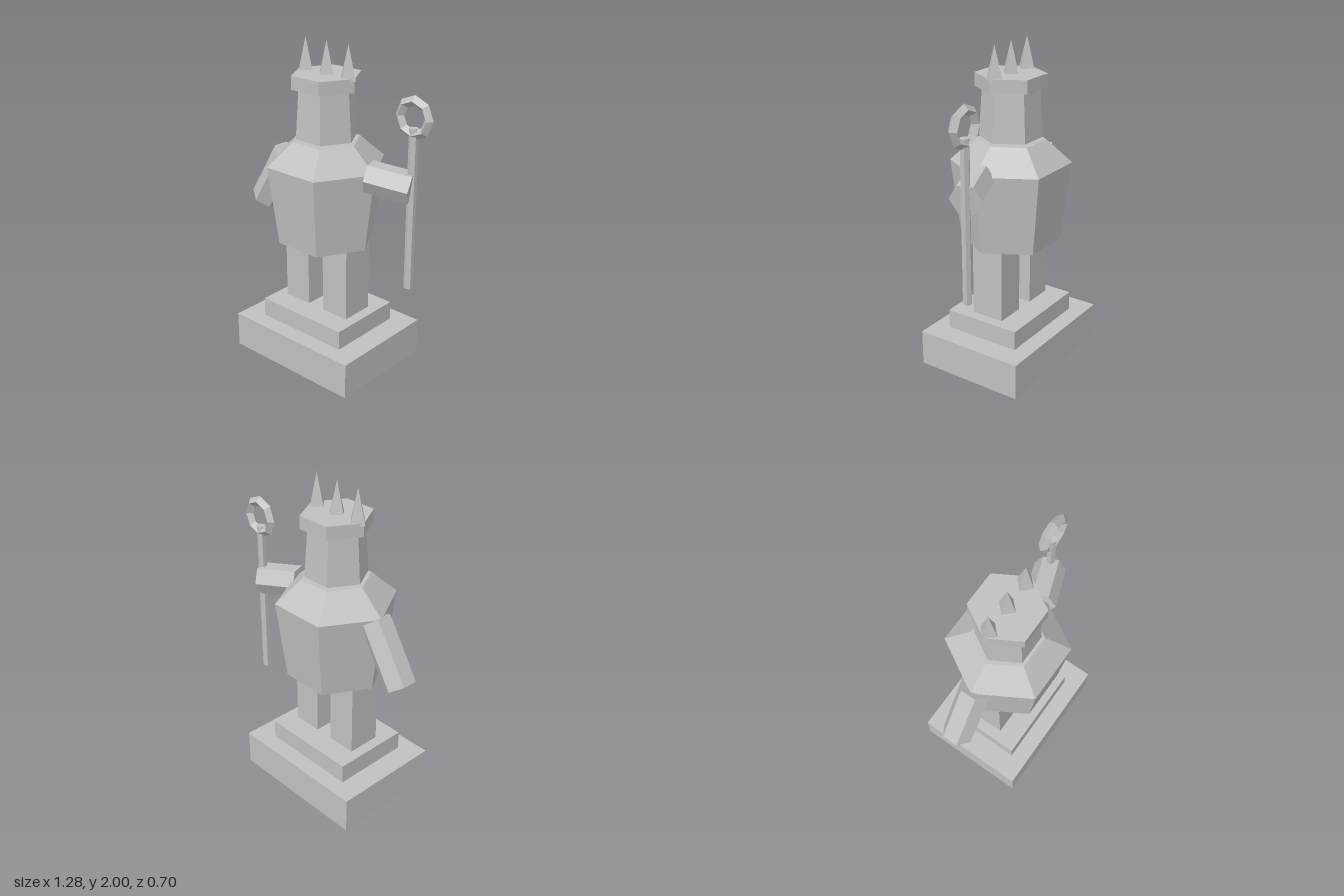
import * as THREE from 'three';

export function createModel() {
  const group = new THREE.Group();
  const stone = new THREE.MeshStandardMaterial({ color: 0xc0c0c0, flatShading: true });
  stone.name = 'grey stone';
  const CX = -0.048; // centre line of the figure

  function add(name, geometry, x, y, z = 0) {
    const mesh = new THREE.Mesh(geometry, stone);
    mesh.name = name;
    mesh.position.set(x, y, z);
    group.add(mesh);
    return mesh;
  }

  function box(name, x, y0, y1, width, depth) {
    return add(name, new THREE.BoxGeometry(width, y1 - y0, depth), x, (y0 + y1) / 2);
  }

  // Six-sided section with corners on the x axis
  function hex(name, y0, y1, rBottom, rTop) {
    const g = new THREE.CylinderGeometry(rTop, rBottom, y1 - y0, 6).rotateY(Math.PI / 6);
    return add(name, g, CX, (y0 + y1) / 2);
  }

  // Six-sided limb between two points, with corners kept level
  function limb(name, from, to, radius) {
    const a = new THREE.Vector3(...from), b = new THREE.Vector3(...to);
    const d = b.clone().sub(a);
    const mid = a.clone().add(b).multiplyScalar(0.5);
    const mesh = add(name, new THREE.CylinderGeometry(radius, radius, d.length(), 6), mid.x, mid.y, mid.z);
    mesh.rotation.set(0, Math.atan2(-d.z, d.x), -Math.atan2(Math.hypot(d.x, d.z), d.y), 'YXZ');
    return mesh;
  }

  // Stepped base
  box('base', CX, 0, 0.225, 0.912, 0.70);
  box('baseStep', CX, 0.225, 0.345, 0.628, 0.49);

  // Legs
  for (const [name, side] of [['rightLeg', -1], ['leftLeg', 1]]) {
    box(name, CX + side * 0.153, 0.345, 0.805, 0.188, 0.21);
  }

  // Torso and shoulders
  hex('torso', 0.79, 1.28, 0.302, 0.363);
  hex('shoulders', 1.28, 1.42, 0.363, 0.207);

  // Head and crown
  hex('head', 1.434, 1.73, 0.188, 0.168);
  hex('crownBand', 1.73, 1.81, 0.21, 0.21);
  for (const i of [-1, 0, 1]) {
    add('crownSpike', new THREE.ConeGeometry(0.057, 0.205, 4), CX + i * 0.162, 1.8975);
  }

  // Arms
  limb('rightArm', [-0.36, 1.26, 0], [-0.571, 0.915, 0], 0.096);
  limb('leftArm', [0.27, 1.264, 0], [0.515, 1.229, -0.09], 0.096);

  // Staff with its ring
  add('staff', new THREE.CylinderGeometry(0.028, 0.028, 0.98, 6), 0.513, 1.09, -0.09);
  add('staffRing', new THREE.TorusGeometry(0.098, 0.03, 4, 8), 0.513, 1.638, -0.09);

  return group;
}
